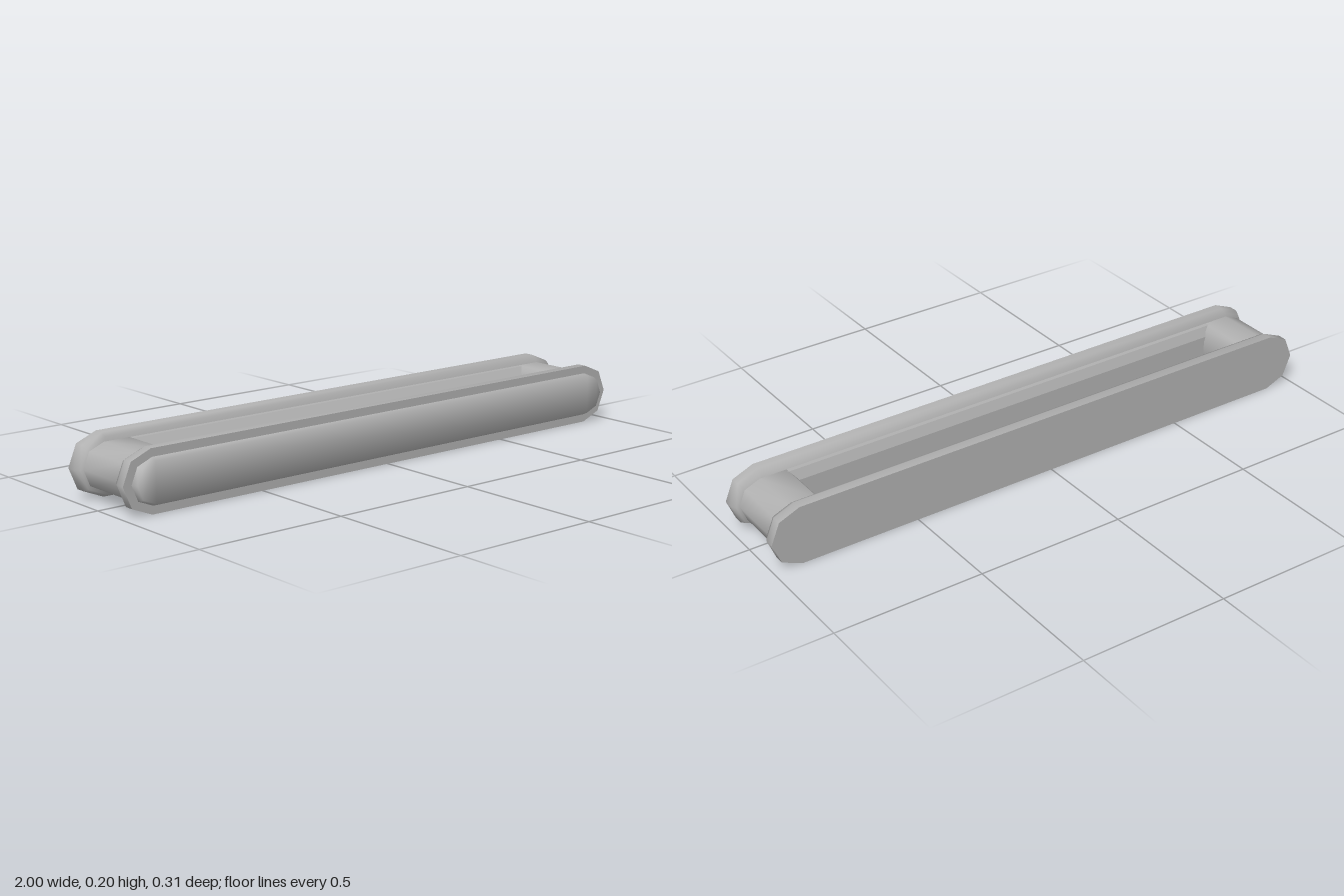
import * as THREE from 'three';
import { toCreasedNormals } from 'three/addons/utils/BufferGeometryUtils.js';

const MID_Y = 0.0985;

// Coarse capsule outline in x/y: ten points, counter-clockwise
function capsule(cx, r) {
  const points = [];
  for (const side of [1, -1]) {
    for (let i = -2; i <= 2; i++) {
      const a = (i * Math.PI) / 4;
      points.push([side * (cx + r * Math.cos(a)), MID_Y + side * r * Math.sin(a)]);
    }
  }
  return points;
}

// Closed solid through capsule sections [z, inset], ordered back to front
function capsuleSolid(cx, r, sections) {
  const positions = [];
  const index = [];
  for (const [z, inset] of sections) {
    for (const [x, y] of capsule(cx, r - inset)) positions.push(x, y, z);
  }
  for (let k = 0; k < sections.length - 1; k++) {
    for (let i = 0; i < 10; i++) {
      const a = k * 10 + i, b = k * 10 + ((i + 1) % 10);
      index.push(a, b, b + 10, a, b + 10, a + 10);
    }
  }
  const cap = [[0, 4, 5], [0, 5, 9], [0, 1, 3], [0, 3, 4], [1, 2, 3], [5, 6, 8], [5, 8, 9], [6, 7, 8]];
  const last = (sections.length - 1) * 10;
  for (const [a, b, c] of cap) {
    index.push(last + a, last + b, last + c);
    index.push(a, c, b);
  }
  const geometry = new THREE.BufferGeometry();
  geometry.setAttribute('position', new THREE.Float32BufferAttribute(positions, 3));
  geometry.setIndex(index);
  return toCreasedNormals(geometry, 1.25);
}

function extrude(points, depth) {
  const shape = new THREE.Shape(points.map(([x, y]) => new THREE.Vector2(x, y)));
  return new THREE.ExtrudeGeometry(shape, { depth, bevelEnabled: false });
}

export function createModel() {
  const model = new THREE.Group();
  const grey = new THREE.MeshStandardMaterial({ color: 0xb0b0b0 });
  grey.name = 'plainGrey';

  function add(name, geometry, x = 0, y = 0, z = 0) {
    const mesh = new THREE.Mesh(geometry, grey);
    mesh.name = name;
    mesh.position.set(x, y, z);
    model.add(mesh);
    return mesh;
  }

  // Outer flanges and the raised front panel
  add('frontFlange', capsuleSolid(0.9015, 0.0985, [[0.085, 0.01], [0.104, 0], [0.135, 0]]));
  add('backFlange', capsuleSolid(0.9015, 0.0985, [[-0.152, 0], [-0.12, 0], [-0.102, 0.01]]));
  add('frontPanel', capsuleSolid(0.898, 0.073, [[0.134, 0], [0.153, 0.009]]));

  // Rounded body ends, with an inner edge that narrows towards mid-height
  const low = 0.0245, high = 0.1725, r = 0.074;
  const endOutline = [];
  for (let i = -2; i <= 2; i++) {
    const a = (i * Math.PI) / 4;
    endOutline.push([0.906 + r * Math.cos(a), MID_Y + r * Math.sin(a)]);
  }
  endOutline.push([0.815, high], [0.8, 0.155], [0.79, 0.12], [0.79, 0.075], [0.8, 0.042], [0.815, low]);
  for (const [name, turn] of [['leftBodyEnd', 0], ['rightBodyEnd', Math.PI]]) {
    const geometry = extrude(endOutline, 0.19);
    geometry.translate(0, 0, -0.095);
    geometry.rotateY(turn);
    add(name, toCreasedNormals(geometry, 0.9), 0, 0, -0.01);
  }

  // Long walls, drawn in (z, y) and extruded along x
  function wall(name, outer, lip, throat) {
    const outline = [[outer, low], [lip, low], [throat, 0.055], [throat, 0.14], [lip, high], [outer, high]];
    const geometry = extrude(outline.map(([z, y]) => [-z, y]), 1.64);
    geometry.rotateY(Math.PI / 2);
    geometry.translate(-0.82, 0, 0);
    add(name, geometry);
  }
  wall('frontWall', 0.09, 0.07, 0.056);
  wall('backWall', -0.105, -0.085, -0.06);

  // Tilted slats across the opening, each held by a pin at both ends
  for (const z of [-0.04, -0.01, 0.02]) {
    const slat = add('slat', new THREE.BoxGeometry(1.53, 0.05, 0.007), 0, 0.08, z);
    slat.rotation.x = -0.5;
    for (const side of [1, -1]) {
      const pin = add('slatPin', new THREE.CylinderGeometry(0.006, 0.006, 0.05, 10), side * 0.775, 0.08, z);
      pin.rotation.z = Math.PI / 2;
    }
  }
  return model;
}
